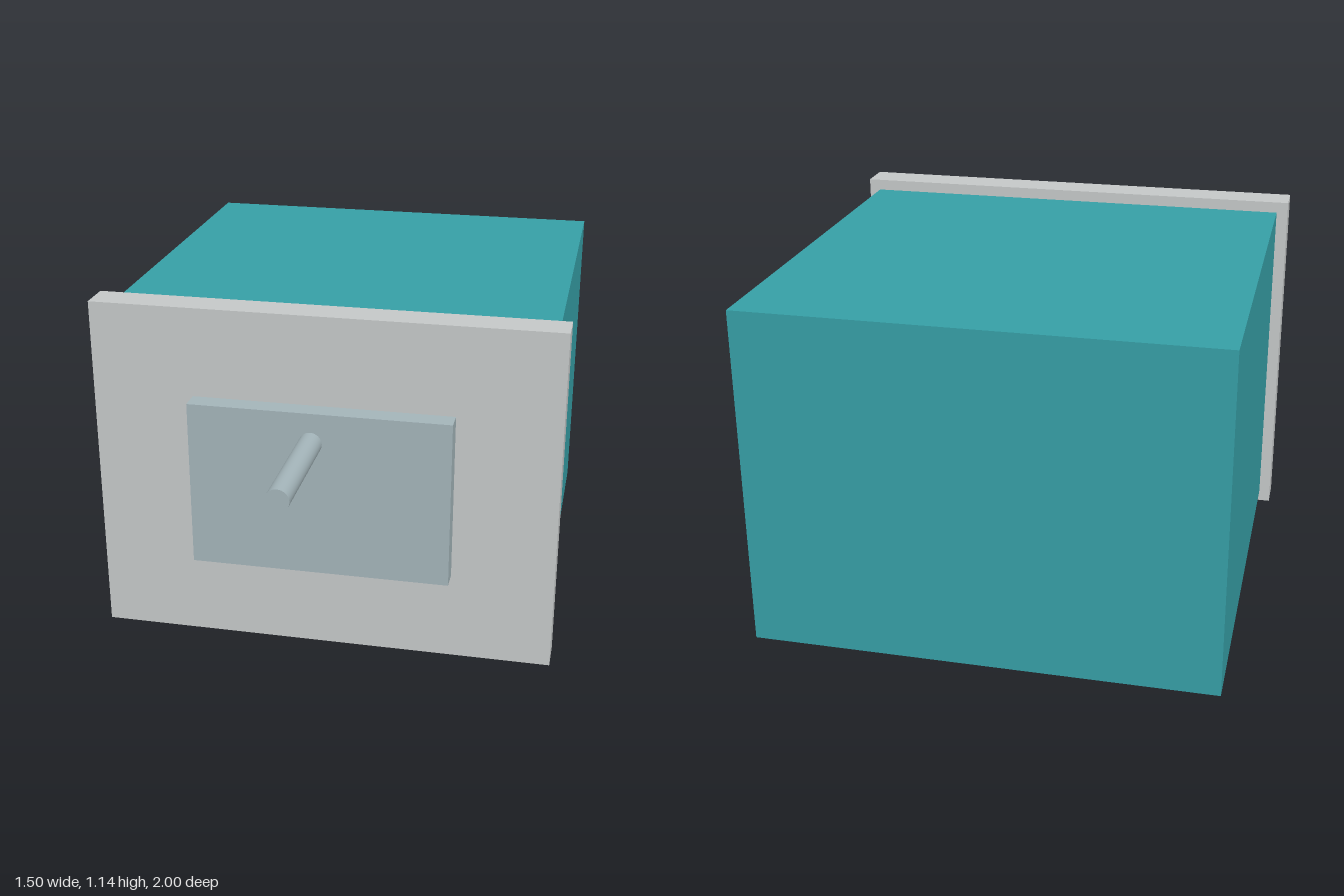
import * as THREE from 'three';

export function createModel() {
  const model = new THREE.Group();

  const paint = (name, color) => {
    const m = new THREE.MeshStandardMaterial({ color });
    m.name = name;
    return m;
  };
  const teal = paint('teal', 0x369fa6);
  const lightGrey = paint('light grey', 0xc5c8c8);
  const blueGrey = paint('blue grey', 0xa3b4b9);

  // Box given by its width, vertical range and depth range, centred on x
  const box = (name, width, y0, y1, z0, z1, material) => {
    const mesh = new THREE.Mesh(new THREE.BoxGeometry(width, y1 - y0, z1 - z0), material);
    mesh.position.set(0, (y0 + y1) / 2, (z0 + z1) / 2);
    mesh.name = name;
    model.add(mesh);
  };

  // Housing, front plate and raised panel
  box('housing', 1.426, 0.038, 1.104, -1, 0.322, teal);
  box('frontPlate', 1.5, 0, 1.14, 0.322, 0.432, lightGrey);
  box('raisedPanel', 0.84, 0.295, 0.847, 0.432, 0.5, blueGrey);

  // Round pin standing clear of the panel
  const pin = new THREE.Mesh(new THREE.CylinderGeometry(0.036, 0.036, 0.403, 32), blueGrey);
  pin.rotation.x = Math.PI / 2;
  pin.position.set(0, 0.791, 0.7985);
  pin.name = 'pin';
  model.add(pin);

  return model;
}
